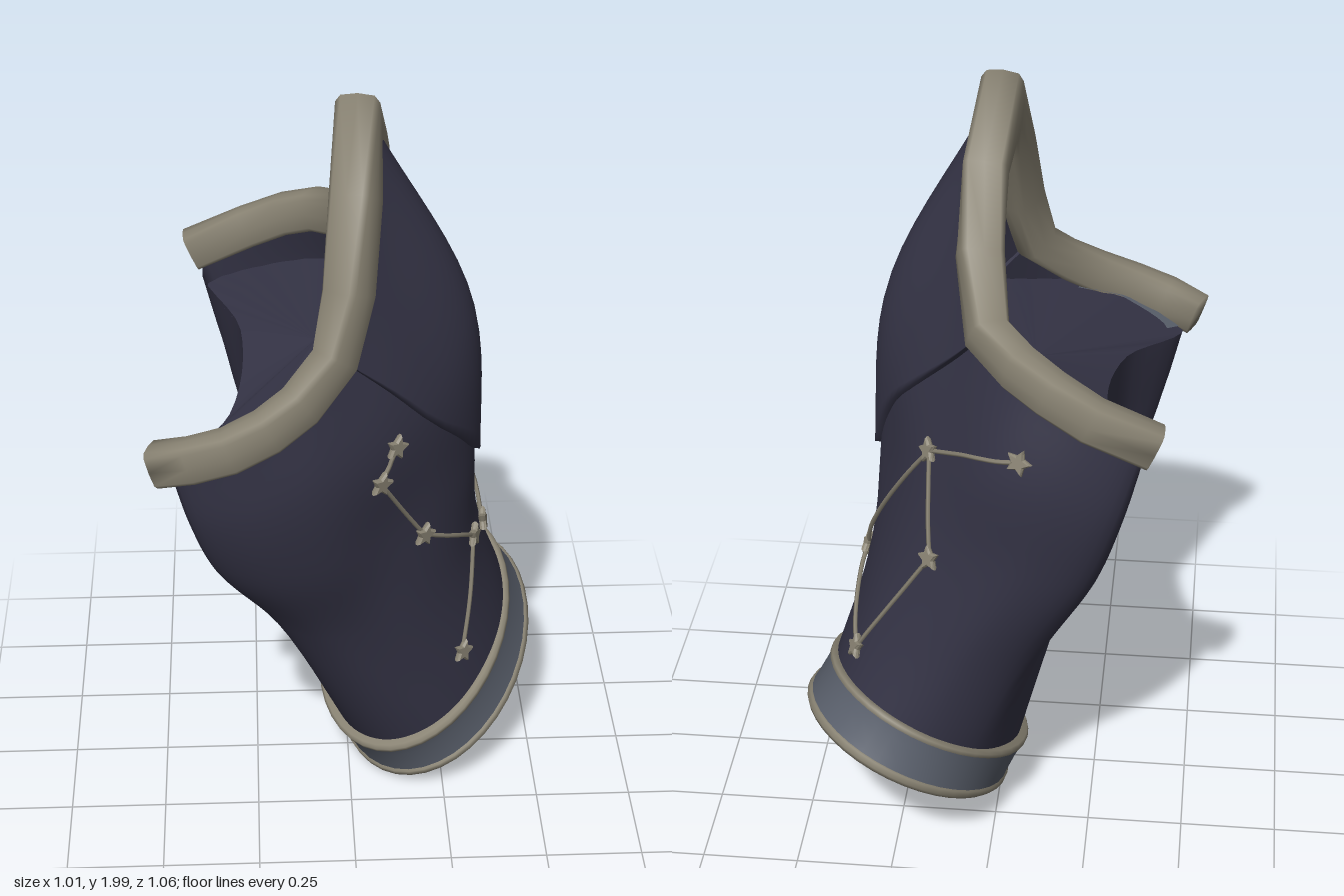
import * as THREE from 'three';

const V = (x, y, z) => new THREE.Vector3(x, y, z);
const mat = (name, color) => {
  const m = new THREE.MeshStandardMaterial({ color, side: THREE.DoubleSide });
  m.name = name;
  return m;
};
const points = (a) => a.map((p) => V(...p));

// Skewed frame of the wrist cuff: unit circle -> tilted ellipse, y -> along the arm
const cuffFrame = new THREE.Matrix4().makeBasis(V(0.26, 0.143, 0), V(-0.46, 0.84, 0.29), V(0, -0.128, 0.365))
  .setPosition(0.25, 0.192, -0.165);

// Cross-sections of the arm shell, each running front edge -> outer ridge -> rear edge -> inner side
const top = points([
  [-0.44, 1.15, 0.43], [-0.3, 1.22, 0.49], [-0.12, 1.33, 0.44], [-0.02, 1.41, 0.37], [0.015, 1.68, 0.27],
  [0.04, 1.9, 0.12], [0.06, 1.69, -0.11], [0.03, 1.48, -0.29], [-0.09, 1.44, -0.41], [-0.25, 1.36, -0.475],
  [-0.37, 1.26, -0.46], [-0.27, 1.23, -0.15], [-0.3, 1.18, 0.2]]);
const upper = points([
  [-0.4, 1.0, 0.42], [-0.27, 1.02, 0.48], [-0.1, 1.1, 0.46], [0.06, 1.15, 0.37], [0.2, 1.25, 0.24],
  [0.29, 1.42, 0.08], [0.24, 1.3, -0.1], [0.12, 1.2, -0.3], [-0.01, 1.2, -0.45], [-0.18, 1.15, -0.5],
  [-0.32, 1.08, -0.46], [-0.255, 1.05, -0.15], [-0.285, 1.0, 0.19]]);
const middle = points([
  [-0.34, 0.83, 0.37], [-0.22, 0.82, 0.425], [-0.06, 0.85, 0.41], [0.09, 0.88, 0.32], [0.24, 0.95, 0.2],
  [0.325, 0.98, 0.04], [0.29, 0.98, -0.1], [0.19, 0.95, -0.32], [0.06, 0.95, -0.43], [-0.1, 0.92, -0.48],
  [-0.25, 0.88, -0.43], [-0.24, 0.85, -0.13], [-0.265, 0.82, 0.16]]);
const lower = points([
  [-0.19, 0.6, 0.27], [-0.1, 0.58, 0.31], [0, 0.58, 0.31], [0.14, 0.6, 0.27], [0.28, 0.65, 0.15],
  [0.34, 0.72, 0], [0.35, 0.7, -0.13], [0.3, 0.68, -0.32], [0.19, 0.68, -0.42], [0.05, 0.65, -0.46],
  [-0.1, 0.6, -0.38], [-0.15, 0.6, -0.12], [-0.185, 0.58, 0.12]]);
const wrist = [135, 110, 85, 60, 30, 5, -25, -50, -75, -100, -130, -165, 165].map((deg) => {
  const a = THREE.MathUtils.degToRad(deg);
  return V(0.93 * Math.cos(a), 0.11, 0.93 * Math.sin(a)).applyMatrix4(cuffFrame);
});
const COLS = top.length;
const sections = [top, upper, middle, lower, wrist].map((s) => new THREE.CatmullRomCurve3(s, true));

// Shell point: u = column, v = 0 at the upper edge and 1 at the wrist
function shell(u, v) {
  const t = (((u / COLS) % 1) + 1) % 1;
  return new THREE.CatmullRomCurve3(sections.map((c) => c.getPoint(t))).getPoint(v);
}
function shellNormal(u, v) {
  const e = 0.02, v0 = Math.max(0, v - e), v1 = Math.min(1, v + e);
  const du = shell(u + e, v).sub(shell(u - e, v));
  return shell(u, v1).sub(shell(u, v0)).cross(du).normalize();
}

function meshGeometry(pos, idx) {
  const g = new THREE.BufferGeometry();
  g.setAttribute('position', new THREE.Float32BufferAttribute(pos, 3));
  g.setIndex(idx);
  g.computeVertexNormals();
  return g;
}

// Surface from a grid of points
function gridGeometry(nu, nv, closed, at) {
  const pos = [], idx = [], cols = closed ? nu : nu + 1;
  for (let j = 0; j <= nv; j++) for (let i = 0; i < cols; i++) pos.push(...at(i / nu, j / nv).toArray());
  for (let j = 0; j < nv; j++) for (let i = 0; i < nu; i++) {
    const k = (i + 1) % cols, a = j * cols + i, b = j * cols + k, c = a + cols, d = b + cols;
    idx.push(a, c, b, b, c, d);
  }
  return meshGeometry(pos, idx);
}

// Floor closing the upper opening: r = 0 on the shell, 1 at the middle, with a gentle slope
const floorCentre = V(-0.08, 1.28, 0);
function floorPoint(u, r) {
  let v = 0, p = shell(u, v);
  while (v < 0.5 && p.y > 1.3 + 0.25 * p.x) p = shell(u, (v += 0.005));
  return p.lerp(floorCentre, r);
}

// Rounded band swept along a cornered path, mitred at the corners, thicker where it rises
function bandGeometry(path, halfWidth) {
  const n = path.length, profile = [], pos = [], idx = [];
  for (let k = 0; k < 12; k++) {
    const a = (k / 12) * Math.PI * 2, r = (x) => Math.sign(x) * Math.abs(x) ** 0.5;
    profile.push([r(Math.cos(a)), r(Math.sin(a)) * halfWidth]);
  }
  path.forEach((p, i) => {
    const j = Math.max(i, 1), k = Math.min(i + 1, n - 1);
    const d0 = path[j].clone().sub(path[j - 1]).normalize();
    const d1 = path[k].clone().sub(path[k - 1]).normalize();
    const t = d0.clone().add(d1).normalize();
    const miter = Math.min(1.5, 1 / t.dot(d0));
    const thick = 0.043 + 0.014 * THREE.MathUtils.smoothstep(p.y, 1.35, 1.65);
    const out = V(p.x + 0.35, 0, p.z);
    out.addScaledVector(t, -out.dot(t)).normalize();
    const side = t.clone().cross(out);
    for (const [o, s] of profile) {
      pos.push(...p.clone().addScaledVector(out, o * thick).addScaledVector(side, s * miter).toArray());
    }
  });
  for (let i = 0; i < n - 1; i++) for (let k = 0; k < 12; k++) {
    const a = i * 12 + k, b = i * 12 + ((k + 1) % 12);
    idx.push(a, b, a + 12, b, b + 12, a + 12);
  }
  for (let k = 1; k < 11; k++) {
    const e = (n - 1) * 12;
    idx.push(0, k + 1, k, e, e + k, e + k + 1);
  }
  return meshGeometry(pos, idx);
}

export function createModel() {
  const group = new THREE.Group();
  const navy = mat('navy leather', 0x343345);
  const tan = mat('pale bronze trim', 0x898373);
  const slate = mat('slate band', 0x5a606c);
  const add = (name, geometry, material, parent = group) => {
    const m = new THREE.Mesh(geometry, material);
    m.name = name;
    parent.add(m);
    return m;
  };

  // Arm shell, the floor inside its upper opening and a slate lining along the front edge
  add('armShell', gridGeometry(78, 24, true, (u, v) => shell(u * COLS, v)), navy);
  add('upperFloor', gridGeometry(78, 4, true, (u, r) => floorPoint(u * COLS, r)), navy);
  add('innerLining', gridGeometry(10, 1, false,
    (a, b) => floorPoint(a * 1.7, b * 0.12).add(V(0, 0.006, 0))), slate);

  // Raised pointed plate below the peak, its last row folding back into the shell
  add('elbowPlate', gridGeometry(32, 16, false, (a, b) => {
    const u = 3 + a * 4, d = (u - 5) / 2;
    const v = 0.5 * (1 - Math.abs(d) ** 1.6) * Math.min(1, b * 16 / 15);
    const lift = b === 1 ? -0.01 : 0.016;
    return shell(u, v).addScaledVector(shellNormal(u, v), lift);
  }), navy);

  // Upper trim with its tall peak
  const trimPath = points([
    [-0.475, 1.185, 0.44], [-0.39, 1.215, 0.475], [-0.3, 1.245, 0.485], [-0.21, 1.285, 0.468], [-0.13, 1.335, 0.435],
    [-0.045, 1.42, 0.37], [-0.01, 1.57, 0.32], [0.01, 1.77, 0.225], [0.02, 1.915, 0.12], [0.045, 1.795, -0.01],
    [0.045, 1.635, -0.15], [0.015, 1.49, -0.28], [-0.07, 1.46, -0.385], [-0.15, 1.425, -0.435],
    [-0.25, 1.375, -0.465], [-0.4, 1.31, -0.465]]);
  add('upperTrim', bandGeometry(trimPath, 0.053), tan);

  // Wrist cuff: flat lower lip, band, upper piping and the closed end
  const cuff = new THREE.Group();
  cuff.name = 'wristCuff';
  group.add(cuff);
  const ring = (name, profile, material) => add(name,
    new THREE.LatheGeometry(profile.map(([r, h]) => new THREE.Vector2(r, h)), 40).applyMatrix4(cuffFrame),
    material, cuff);
  ring('cuffLip', [[0.84, 0.025], [0.86, 0.004], [0.92, -0.005], [0.98, 0], [1.01, 0.012], [1.005, 0.026], [0.97, 0.03]], tan);
  ring('cuffBand', [[0.99, 0.02], [0.98, 0.05], [0.975, 0.1], [0.985, 0.135]], slate);
  ring('cuffPiping', [[0.975, 0.13], [0.995, 0.132], [0.995, 0.143], [0.97, 0.15], [0.88, 0.148]], tan);
  ring('cuffEnd', [[0, 0.015], [0.87, 0.015]], navy);

  // Nearest place on the shell to a given point, lifted slightly off it
  const samples = [];
  for (let i = 0; i < 130; i++) for (let j = 2; j < 48; j++) {
    const u = i / 10, v = j / 48;
    samples.push({ u, v, p: shell(u, v) });
  }
  const snap = (q) => {
    const s = samples.reduce((m, c) => (c.p.distanceToSquared(q) < m.p.distanceToSquared(q) ? c : m));
    const n = shellNormal(s.u, s.v);
    return { n, p: q.clone().addScaledVector(n, s.p.clone().sub(q).dot(n) + 0.009) };
  };

  // Star studs joined by fine wires
  const starShape = new THREE.Shape();
  for (let k = 0; k < 10; k++) {
    const a = (k / 10) * Math.PI * 2, r = k % 2 ? 0.014 : 0.029;
    starShape[k ? 'lineTo' : 'moveTo'](r * Math.cos(a), r * Math.sin(a));
  }
  const starGeometry = new THREE.ExtrudeGeometry(starShape,
    { depth: 0.006, bevelEnabled: true, bevelThickness: 0.006, bevelSize: 0.004, bevelSegments: 1 });
  const constellation = (name, stars, links) => {
    const g = new THREE.Group();
    g.name = name;
    group.add(g);
    for (const s of stars) {
      const { p, n } = snap(s);
      const m = add('starStud', starGeometry, tan, g);
      m.position.copy(p);
      m.quaternion.setFromUnitVectors(V(0, 0, 1), n);
    }
    for (const [a, b] of links) {
      const path = [];
      for (let k = 0; k <= 6; k++) path.push(snap(stars[a].clone().lerp(stars[b], k / 6)).p);
      add('starWire', new THREE.TubeGeometry(new THREE.CatmullRomCurve3(path), 16, 0.006, 5), tan, g);
    }
  };
  constellation('frontConstellation', points([
    [0.06, 1.16, 0.29], [0.04, 1.08, 0.34], [0.16, 0.86, 0.235], [0.32, 0.73, 0.07], [0.28, 0.43, 0.155]]),
  [[0, 1], [1, 2], [2, 3], [3, 4]]);
  constellation('rearConstellation', points([
    [-0.09, 1.25, -0.45], [0.16, 1.16, -0.285], [0.14, 0.91, -0.38], [0.34, 0.58, -0.32], [0.36, 0.71, -0.035]]),
  [[0, 1], [1, 2], [2, 3], [3, 4], [4, 1]]);

  return group;
}
